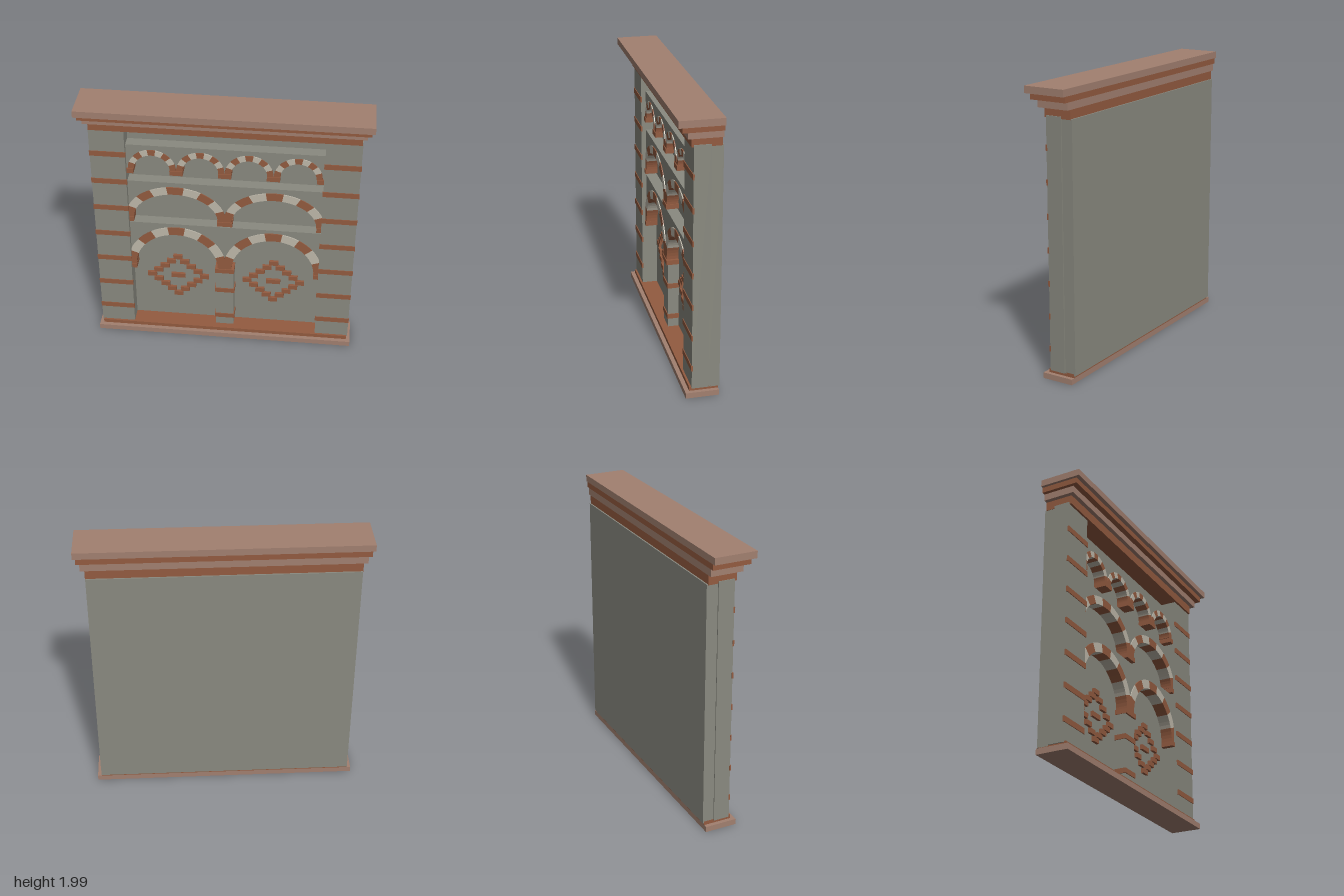
import * as THREE from 'three';

const mat = (name, color) => {
  const m = new THREE.MeshStandardMaterial({ color });
  m.name = name;
  return m;
};

export function createModel() {
  const root = new THREE.Group();
  root.name = 'arcadedWall';
  const stone = mat('greyStone', 0x8a8a80);
  const brick = mat('redBrick', 0x935b40);
  const pale = mat('paleStone', 0xbfb9ab);
  const trim = mat('pinkTrim', 0xa28070);

  const WALL_Z = -0.075, PANEL_Z = 0.005, ARCH_Z = 0.012, SIDE = 0.685;

  // Box given by its limits on each axis
  function box(name, m, x0, x1, y0, y1, z0, z1, parent = root) {
    const mesh = new THREE.Mesh(new THREE.BoxGeometry(x1 - x0, y1 - y0, z1 - z0), m);
    mesh.position.set((x0 + x1) / 2, (y0 + y1) / 2, (z0 + z1) / 2);
    mesh.name = name;
    parent.add(mesh);
    return mesh;
  }

  // Shape extruded from the wall face forward to z1
  function slab(name, m, shape, z1, parent) {
    const geo = new THREE.ExtrudeGeometry(shape, { depth: z1 - WALL_Z, bevelEnabled: false });
    const mesh = new THREE.Mesh(geo, m);
    mesh.position.z = WALL_Z;
    mesh.name = name;
    parent.add(mesh);
  }

  // Back wall
  box('backWall', stone, -0.922, 0.922, 0.055, 1.79, -0.155, WALL_Z);

  // Stepped base and cornice: half width, bottom, top, front
  [
    ['baseStep', trim, 0.95, 0, 0.04, 0.085],
    ['plinth', brick, 0.922, 0.04, 0.068, 0.055],
    ['corniceStep', brick, 0.925, 1.785, 1.85, 0.055],
    ['corniceStep', trim, 0.955, 1.85, 1.9, 0.085],
    ['corniceStep', brick, 0.98, 1.9, 1.94, 0.125],
    ['corniceTop', trim, 1, 1.94, 1.988, 0.155],
  ].forEach(([n, m, w, y0, y1, z]) => box(n, m, -w, w, y0, y1, -0.145, z));

  // Side pillars with brick bands on the front
  for (const s of [-1, 1]) {
    const pillar = new THREE.Group();
    pillar.name = s > 0 ? 'leftPillar' : 'rightPillar';
    root.add(pillar);
    const span = (a, b) => (s > 0 ? [a, b] : [-b, -a]);
    box('pillarShaft', stone, ...span(SIDE, 0.93), 0.06, 1.8, WALL_Z, 0.04, pillar);
    for (let i = 0; i < 7; i++) {
      const y = 0.215 + i * 0.229;
      box('pillarBand', brick, ...span(0.68, 0.933), y - 0.02, y + 0.02, 0.034, 0.045, pillar);
    }
  }

  // One arch ring of nine alternating wedge stones
  function archRing(cx, cy, rx, ry, t, parent) {
    const N = 9, SUB = 4;
    for (let i = 0; i < N; i++) {
      const outer = [], inner = [];
      for (let j = 0; j <= SUB; j++) {
        const a = ((i + j / SUB) / N) * Math.PI;
        const c = Math.cos(a), s = Math.sin(a);
        outer.push(new THREE.Vector2(cx + (rx + t) * c, cy + (ry + t) * s));
        inner.unshift(new THREE.Vector2(cx + rx * c, cy + ry * s));
      }
      // keep stones within the bay
      for (const p of outer) p.x = Math.max(-0.7, Math.min(0.7, p.x));
      slab('archStone', i % 2 ? pale : brick, new THREE.Shape([...outer, ...inner]), ARCH_Z, parent);
    }
  }

  // A row of arches with the wall panel above it and corbels below
  function tier({ name, centres, y, rx, ry, t, top, corbelHalf, corbelEnd }) {
    const g = new THREE.Group();
    g.name = name;
    root.add(g);
    const shape = new THREE.Shape();
    shape.moveTo(-SIDE, top);
    shape.lineTo(-SIDE, y);
    for (const cx of centres) {
      for (let i = 0; i <= 32; i++) {
        const a = Math.PI * (1 - i / 32);
        shape.lineTo(cx + (rx + t / 2) * Math.cos(a), y + (ry + t / 2) * Math.sin(a));
      }
      archRing(cx, y, rx, ry, t, g);
    }
    shape.lineTo(SIDE, y);
    shape.lineTo(SIDE, top);
    slab('panel', stone, shape, PANEL_Z, g);
    for (let i = 1; i < centres.length; i++) {
      const x = (centres[i - 1] + centres[i]) / 2;
      box('corbel', brick, x - corbelHalf, x + corbelHalf, y - 0.036, y, WALL_Z, 0.018, g);
    }
    box('endCorbel', brick, corbelEnd, SIDE, y - 0.036, y, WALL_Z, 0.018, g);
    box('endCorbel', brick, -SIDE, -corbelEnd, y - 0.036, y, WALL_Z, 0.018, g);
  }

  tier({ name: 'lowerArcade', centres: [-0.35, 0.35], y: 0.608, rx: 0.3, ry: 0.288, t: 0.065,
    top: 0.988, corbelHalf: 0.07, corbelEnd: 0.648 });
  tier({ name: 'middleArcade', centres: [-0.35, 0.35], y: 1.04, rx: 0.3, ry: 0.215, t: 0.06,
    top: 1.35, corbelHalf: 0.055, corbelEnd: 0.652 });
  tier({ name: 'upperArcade', centres: [-0.507, -0.169, 0.169, 0.507], y: 1.458, rx: 0.125, ry: 0.117, t: 0.043,
    top: 1.652, corbelHalf: 0.046, corbelEnd: 0.637 });

  // Central pier with two bands
  box('centrePier', stone, -0.066, 0.066, 0.06, 0.575, WALL_Z, PANEL_Z);
  for (const y of [0.153, 0.402])
    box('pierBand', brick, -0.073, 0.073, y - 0.018, y + 0.018, WALL_Z, 0.012);

  // Brick diamonds
  for (const cx of [-0.355, 0.355]) {
    const g = new THREE.Group();
    g.name = 'brickDiamond';
    root.add(g);
    const place = (x, y, w) =>
      box('diamondBrick', brick, cx + x - w / 2, cx + x + w / 2, y - 0.018, y + 0.018, WALL_Z - 0.01, -0.055, g);
    for (let r = -4; r <= 4; r++) {
      const dx = (4 - Math.abs(r)) * 0.049, y = 0.46 + r * 0.0435;
      place(dx, y, 0.067);
      if (dx > 0) place(-dx, y, 0.067);
    }
    place(0, 0.46, 0.105);
  }
  return root;
}
